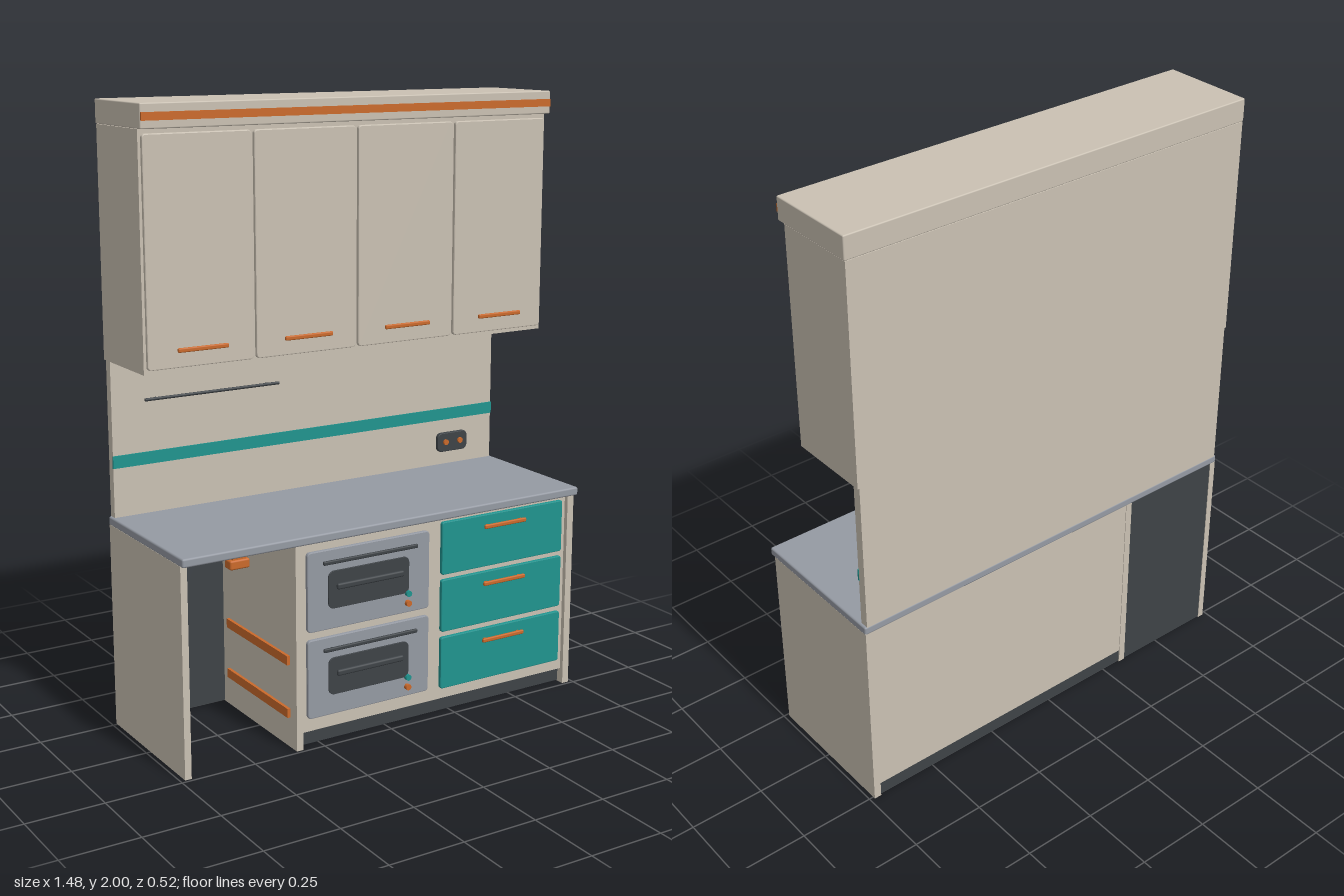
import * as THREE from 'three';
import { RoundedBoxGeometry } from 'three/addons/geometries/RoundedBoxGeometry.js';

const mat = (name, color) => {
  const m = new THREE.MeshStandardMaterial({ color });
  m.name = name;
  return m;
};

export function createModel() {
  const cream = mat('cream', 0xcac1b3);
  const grey = mat('grey', 0x959aa3);
  const teal = mat('teal', 0x20948f);
  const dark = mat('charcoal', 0x3e4347);
  const orange = mat('orange', 0xcb6a2b);

  const root = new THREE.Group();
  root.name = 'kitchenUnit';

  const add = (parent, name, geo, m) => {
    const mesh = new THREE.Mesh(geo, m);
    mesh.name = name;
    parent.add(mesh);
    return mesh;
  };
  // Box from its limits; r rounds the edges
  const box = (parent, name, m, x0, x1, y0, y1, z0, z1, r = 0) => {
    const s = [x1 - x0, y1 - y0, z1 - z0];
    const geo = r ? new RoundedBoxGeometry(...s, 2, r) : new THREE.BoxGeometry(...s);
    geo.translate((x0 + x1) / 2, (y0 + y1) / 2, (z0 + z1) / 2);
    return add(parent, name, geo, m);
  };
  // Front panel with rounded corners and a small bevel
  const plate = (parent, name, m, x0, x1, y0, y1, z0, z1, r, bevel = 0.003) => {
    const w = (x1 - x0) / 2 - bevel, h = (y1 - y0) / 2 - bevel;
    const s = new THREE.Shape();
    s.moveTo(-w + r, -h);
    s.lineTo(w - r, -h).absarc(w - r, -h + r, r, -Math.PI / 2, 0);
    s.lineTo(w, h - r).absarc(w - r, h - r, r, 0, Math.PI / 2);
    s.lineTo(-w + r, h).absarc(-w + r, h - r, r, Math.PI / 2, Math.PI);
    s.lineTo(-w, -h + r).absarc(-w + r, -h + r, r, Math.PI, Math.PI * 1.5);
    const geo = new THREE.ExtrudeGeometry(s, {
      depth: z1 - z0 - 2 * bevel, bevelSize: bevel, bevelThickness: bevel,
      bevelSegments: 2, curveSegments: 5,
    });
    geo.translate((x0 + x1) / 2, (y0 + y1) / 2, z0 + bevel);
    return add(parent, name, geo, m);
  };
  // Round knob facing the front
  const knob = (parent, name, m, x, y, z0, z1, r) => {
    const geo = new THREE.CylinderGeometry(r, r, z1 - z0, 16).rotateX(Math.PI / 2);
    geo.translate(x, y, (z0 + z1) / 2);
    return add(parent, name, geo, m);
  };
  // Horizontal bar with two short posts
  const handle = (parent, name, m, x, y, len, z, zBar, h = 0.014) => {
    const g = new THREE.Group();
    g.name = name;
    box(g, 'bar', m, x - len / 2, x + len / 2, y - h / 2, y + h / 2, zBar - 0.01, zBar, 0.004);
    for (const s of [-1, 1]) {
      const px = x + s * len * 0.4;
      box(g, 'post', m, px - 0.005, px + 0.005, y - 0.004, y + 0.004, z, zBar - 0.005);
    }
    parent.add(g);
  };

  // Base unit
  const base = new THREE.Group();
  base.name = 'baseUnit';
  root.add(base);
  box(base, 'worktop', grey, -0.737, 0.737, 0.674, 0.702, -0.26, 0.26, 0.006);
  box(base, 'rightSidePanel', cream, -0.735, -0.713, 0, 0.675, -0.259, 0.24);
  box(base, 'divider', cream, -0.346, -0.322, 0, 0.675, -0.259, 0.24);
  box(base, 'leftSidePanel', cream, 0.71, 0.735, 0, 0.675, -0.259, 0.24);
  box(base, 'cabinetBody', cream, -0.322, 0.71, 0.05, 0.675, -0.257, 0.225);
  box(base, 'plinth', dark, -0.322, 0.71, 0.003, 0.05, -0.255, 0.212);
  box(base, 'bayBack', dark, -0.713, -0.346, 0.003, 0.675, -0.257, -0.24);
  for (const y of [0.115, 0.29]) {
    box(base, 'bayRail', orange, -0.713, -0.703, y - 0.015, y + 0.015, -0.2, 0.2);
    box(base, 'bayRail', orange, -0.356, -0.346, y - 0.015, y + 0.015, -0.2, 0.2);
  }
  box(base, 'bayLatch', orange, -0.567, -0.5, 0.63, 0.66, 0.195, 0.235, 0.006);
  box(base, 'latchMount', orange, -0.555, -0.512, 0.655, 0.675, 0.2, 0.23);

  // Ovens
  for (const y of [0.38, 0.095]) {
    const oven = new THREE.Group();
    oven.name = 'oven';
    plate(oven, 'ovenDoor', grey, -0.303, 0.15, y, y + 0.26, 0.224, 0.238, 0.01);
    plate(oven, 'ovenWindow', dark, -0.23, 0.07, y + 0.067, y + 0.19, 0.236, 0.242, 0.02, 0.001);
    box(oven, 'windowBar', dark, -0.203, 0.045, y + 0.129, y + 0.149, 0.241, 0.254, 0.006);
    handle(oven, 'ovenHandle', dark, -0.077, y + 0.221, 0.35, 0.236, 0.252, 0.013);
    knob(oven, 'tealKnob', teal, 0.066, y + 0.066, 0.236, 0.251, 0.01);
    knob(oven, 'orangeKnob', orange, 0.066, y + 0.033, 0.236, 0.251, 0.01);
    base.add(oven);
  }

  // Drawers
  for (const y of [0.48, 0.285, 0.088]) {
    const drawer = new THREE.Group();
    drawer.name = 'drawer';
    plate(drawer, 'drawerFront', teal, 0.2, 0.69, y, y + 0.178, 0.224, 0.238, 0.006);
    handle(drawer, 'drawerHandle', orange, 0.442, y + 0.141, 0.168, 0.236, 0.256);
    base.add(drawer);
  }

  // Splashback with stripe, rod and socket
  const splash = new THREE.Group();
  splash.name = 'splashback';
  root.add(splash);
  box(splash, 'wallPanel', cream, -0.729, 0.729, 0.7, 1.21, -0.259, -0.23);
  box(splash, 'tealStripe', teal, -0.73, 0.73, 0.862, 0.902, -0.232, -0.226);
  const rod = new THREE.CylinderGeometry(0.005, 0.005, 0.48, 10).rotateZ(Math.PI / 2);
  add(splash, 'utensilRod', rod.translate(-0.38, 1.072, -0.217), dark);
  for (const x of [-0.58, -0.18]) {
    box(splash, 'rodPost', dark, x - 0.004, x + 0.004, 1.069, 1.075, -0.23, -0.217);
  }
  plate(splash, 'socket', dark, 0.496, 0.62, 0.748, 0.816, -0.231, -0.217, 0.015);
  for (const x of [0.528, 0.588]) knob(splash, 'socketButton', orange, x, 0.783, -0.22, -0.21, 0.01);

  // Wall cabinet
  const wall = new THREE.Group();
  wall.name = 'wallCabinet';
  root.add(wall);
  box(wall, 'carcass', cream, -0.735, 0.735, 1.206, 1.925, -0.259, 0.028);
  for (let i = 0; i < 4; i++) {
    const x = (i - 1.5) * 0.366;
    plate(wall, 'door', cream, x - 0.178, x + 0.178, 1.22, 1.912, 0.027, 0.041, 0.008);
    handle(wall, 'doorHandle', orange, x, 1.275, 0.17, 0.039, 0.058);
  }
  box(wall, 'cornice', cream, -0.738, 0.738, 1.926, 2, -0.26, 0.055, 0.004);
  box(wall, 'corniceStripe', orange, -0.736, 0.736, 1.95, 1.974, 0.05, 0.06);
  return root;
}
